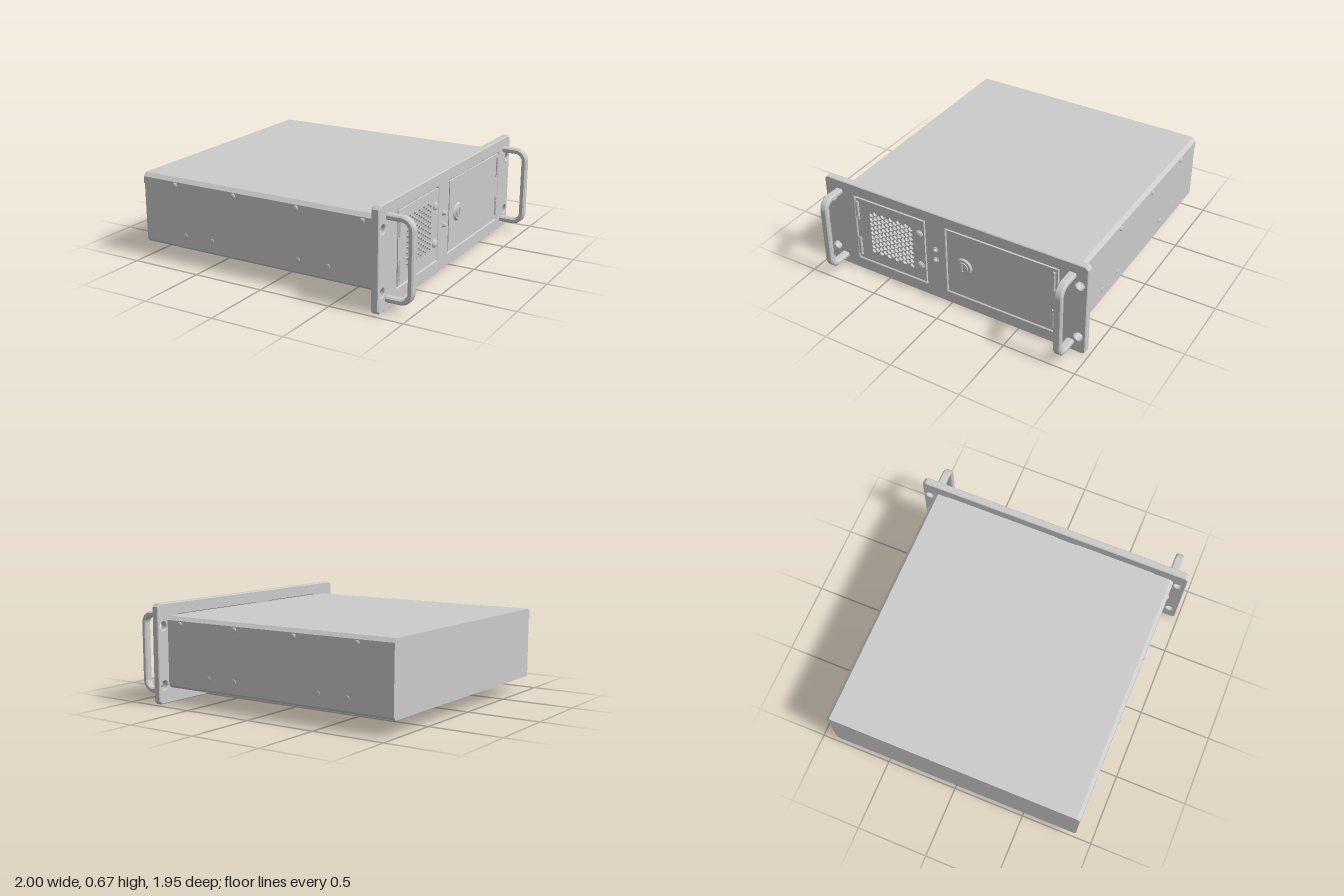
import * as THREE from 'three';

const grey = new THREE.MeshStandardMaterial({ color: 0xcccccc });
const flat = new THREE.MeshStandardMaterial({ color: 0xcccccc, flatShading: true });

function add(parent, name, geometry, x = 0, y = 0, z = 0, material = grey) {
  const mesh = new THREE.Mesh(geometry, material);
  mesh.name = name;
  mesh.position.set(x, y, z);
  parent.add(mesh);
  return mesh;
}

const polygon = (points) => new THREE.Shape(points.map((p) => new THREE.Vector2(...p)));

// Rectangle from (x0, y0) to (x1, y1) with cut corners
function cutRect(x0, y0, x1, y1, c) {
  return polygon([[x0 + c, y0], [x1 - c, y0], [x1, y0 + c], [x1, y1 - c],
    [x1 - c, y1], [x0 + c, y1], [x0, y1 - c], [x0, y0 + c]]);
}

const rect = (x0, y0, x1, y1) => polygon([[x0, y0], [x1, y0], [x1, y1], [x0, y1]]);

// Extrusion that keeps the drawn outline and total depth despite its bevel
function plate(shape, depth, bevel = 0) {
  const geometry = new THREE.ExtrudeGeometry(shape, {
    depth: depth - 2 * bevel, bevelEnabled: bevel > 0, bevelThickness: bevel,
    bevelSize: bevel, bevelOffset: -bevel, bevelSegments: 1, curveSegments: 20,
  });
  return geometry.translate(0, 0, bevel);
}

// Low domed head on a short rim, pointing along +z
function dome(radius, height) {
  const profile = [[radius, 0], [radius, height * 0.35], [radius * 0.85, height * 0.7],
    [radius * 0.5, height * 0.93], [0, height]].map((p) => new THREE.Vector2(...p));
  return new THREE.LatheGeometry(profile, 20).rotateX(Math.PI / 2);
}

const disc = (r0, r1, h) => new THREE.CylinderGeometry(r1, r0, h, 28).rotateX(Math.PI / 2).translate(0, 0, h / 2);

function makeCase() {
  const box = new THREE.Group();
  box.name = 'case';
  // Cross-sections run across z and are extruded along x
  const body = polygon([[-0.865, 0.103], [0.865, 0.103], [0.883, 0.122], [0.883, 0.515], [-0.883, 0.515], [-0.883, 0.122]]);
  add(box, 'caseBody', plate(body, 1.77).rotateY(Math.PI / 2), -0.995, 0, 0, flat);
  const lid = polygon([[-0.885, 0.512], [0.885, 0.512], [0.885, 0.558], [0.861, 0.583], [-0.861, 0.583], [-0.885, 0.558]]);
  add(box, 'caseLid', plate(lid, 1.775).rotateY(Math.PI / 2), -1, 0, 0, flat);

  // Side screws on both walls
  for (const side of [1, -1]) {
    const rows = [[0.537, 0.885, 0.01, [-0.74, -0.275, 0.195, 0.66]],
      [0.2, 0.883, 0.004, [-0.67, -0.455, 0.205, 0.42]]];
    for (const [y, z, height, xs] of rows) {
      for (const x of xs) {
        const screw = add(box, 'sideScrew', dome(0.017, height), x, y, side * z);
        if (side < 0) screw.rotation.y = Math.PI;
      }
    }
  }
  return box;
}

// Grille door with a honeycomb of hexagonal holes
function grilleDoor() {
  const shape = rect(-0.732, 0.098, -0.194, 0.578);
  const pitch = 0.036;
  for (let col = 0; col < 11; col++) {
    for (let row = 0; row < 9; row++) {
      const cx = -0.612 + col * 0.031;
      const cy = 0.19 + row * pitch + (col % 2) * pitch / 2;
      const hex = [];
      for (let k = 0; k < 6; k++) {
        const a = -k * Math.PI / 3;
        hex.push(new THREE.Vector2(cx + 0.017 * Math.cos(a), cy + 0.017 * Math.sin(a)));
      }
      shape.holes.push(new THREE.Path(hex));
    }
  }
  return plate(shape, 0.018);
}

// Front face: local x runs across, y up, z outward
function makeFace() {
  const face = new THREE.Group();
  face.name = 'frontFace';
  const openings = [[-0.74, -0.186], [-0.029, 0.783]];
  const panel = cutRect(-0.975, 0, 0.975, 0.67, 0.02);
  for (const [a, b] of openings) panel.holes.push(rect(a, 0.09, b, 0.586));
  for (const x of [-0.925, 0.925]) {
    for (const y of [0.125, 0.52]) {
      const hole = new THREE.Path();
      hole.absarc(x, y, 0.029, 0, Math.PI * 2, true);
      panel.holes.push(hole);
    }
  }
  add(face, 'rackPanel', plate(panel, 0.05, 0.005), 0, 0, -0.05, flat);
  for (const [a, b] of openings) {
    add(face, 'doorBacking', plate(rect(a - 0.001, 0.089, b + 0.001, 0.587), 0.025), 0, 0, -0.046, flat);
  }
  add(face, 'grilleDoor', grilleDoor(), 0, 0, -0.019, flat);
  add(face, 'driveDoor', plate(rect(-0.021, 0.098, 0.775, 0.578), 0.018), 0, 0, -0.019, flat);

  // Hinges: leaf with three knuckles
  for (const x of [-0.722, 0.757]) {
    for (const y of [0.196, 0.485]) {
      const hinge = new THREE.Group();
      hinge.name = 'hinge';
      hinge.position.set(x, y, 0);
      add(hinge, 'hingeLeaf', new THREE.BoxGeometry(0.03, 0.142, 0.006));
      for (const [ky, h] of [[-0.056, 0.027], [0, 0.08], [0.056, 0.027]]) {
        add(hinge, 'hingeKnuckle', new THREE.CylinderGeometry(0.009, 0.009, h, 14), -Math.sign(x) * 0.005, ky, 0.003);
      }
      face.add(hinge);
    }
  }

  // Thumb screws and indicator lights
  for (const y of [0.22, 0.47]) {
    add(face, 'thumbScrewCollar', disc(0.03, 0.028, 0.006), -0.233, y, -0.002);
    add(face, 'thumbScrew', dome(0.025, 0.015), -0.233, y, 0);
  }
  for (const y of [0.31, 0.39]) {
    add(face, 'lightBezel', disc(0.021, 0.019, 0.006), -0.11, y, -0.001);
    add(face, 'light', dome(0.015, 0.022), -0.11, y, 0);
  }

  // Lock: sloping collar, raised core and key slot
  add(face, 'lockCollar', disc(0.062, 0.052, 0.012), 0.104, 0.34, -0.001);
  const core = new THREE.Shape();
  core.absarc(0, 0, 0.036, 0, Math.PI * 2, false);
  core.holes.push(new THREE.Path(rect(-0.006, -0.028, 0.006, 0.028).getPoints()));
  add(face, 'lockCore', plate(core, 0.008, 0.001), 0.104, 0.34, 0.01);

  face.rotation.y = Math.PI / 2;
  face.position.x = 0.82;
  return face;
}

// C-shaped pull handle with rounded corners
function handleGeometry() {
  const x0 = 0.81, x1 = 1, y0 = 0.053, y1 = 0.605, t = 0.036, r = 0.085, q = r - t;
  const s = new THREE.Shape();
  s.moveTo(x0, y0);
  s.lineTo(x1 - r, y0);
  s.absarc(x1 - r, y0 + r, r, -Math.PI / 2, 0, false);
  s.lineTo(x1, y1 - r);
  s.absarc(x1 - r, y1 - r, r, 0, Math.PI / 2, false);
  s.lineTo(x0, y1);
  s.lineTo(x0, y1 - t);
  s.lineTo(x1 - r, y1 - t);
  s.absarc(x1 - r, y1 - r, q, Math.PI / 2, 0, true);
  s.lineTo(x1 - t, y0 + r);
  s.absarc(x1 - r, y0 + r, q, 0, -Math.PI / 2, true);
  s.lineTo(x0, y0 + t);
  return plate(s, 0.054, 0.009).translate(0, 0, -0.027);
}

export function createModel() {
  const model = new THREE.Group();
  model.name = 'rackCase';
  model.add(makeCase(), makeFace());
  for (const side of [1, -1]) add(model, 'handle', handleGeometry(), 0, 0, side * 0.866 - 0.004);
  return model;
}
